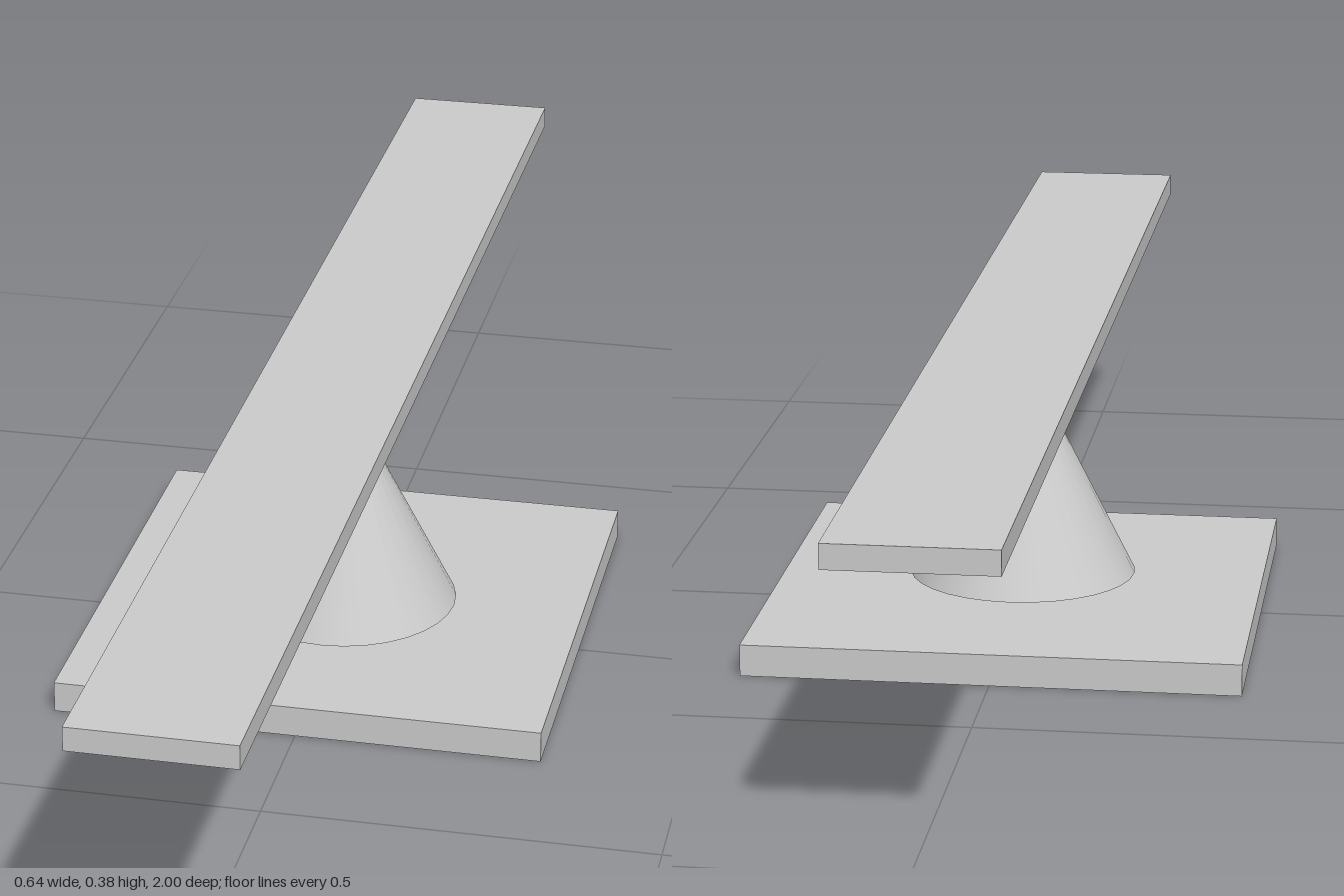
import * as THREE from 'three';

export function createModel() {
  const model = new THREE.Group();
  const material = new THREE.MeshStandardMaterial({ color: 0xcccccc });

  const addPart = (name, geometry, x, y, z) => {
    const mesh = new THREE.Mesh(geometry, material);
    mesh.name = name;
    mesh.position.set(x, y, z);
    model.add(mesh);
  };

  // Square base plate, set slightly to the back
  addPart('basePlate', new THREE.BoxGeometry(0.636, 0.041, 0.648), 0, 0.0205, -0.018);

  // Cone pivot, floating just above the plate
  addPart('pivotCone', new THREE.ConeGeometry(0.149, 0.298, 32), 0, 0.198, 0);

  // Long plank just above the cone tip
  addPart('plank', new THREE.BoxGeometry(0.2, 0.03, 2), -0.003, 0.366, 0);

  return model;
}
